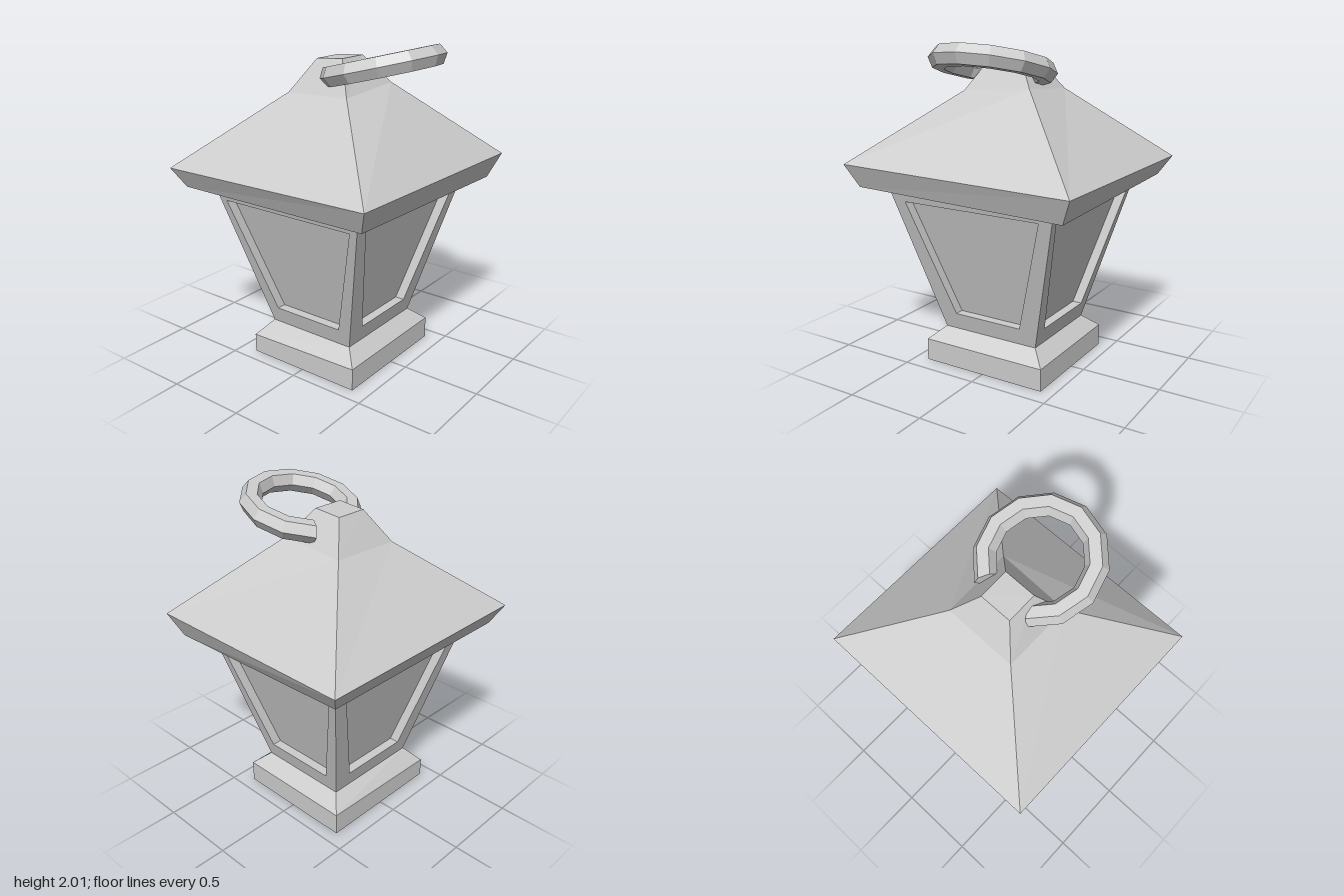
import * as THREE from 'three';

const material = new THREE.MeshStandardMaterial({ color: 0xcccccc, flatShading: true });

// Flat-shaded geometry from quads; each quad lists four corners counter-clockwise
function quadGeometry(quads) {
  const pos = [];
  for (const [a, b, c, d] of quads) pos.push(...a, ...b, ...c, ...a, ...c, ...d);
  const g = new THREE.BufferGeometry();
  g.setAttribute('position', new THREE.Float32BufferAttribute(pos, 3));
  g.computeVertexNormals();
  return g;
}

// Four corners of a rectangle: front right, front left, back left, back right (model's own);
// dy shifts single corners up or down for a hand-made look
function ring(y, x0, x1, zBack, zFront, dy = [0, 0, 0, 0]) {
  return [[x0, y + dy[0], zFront], [x1, y + dy[1], zFront], [x1, y + dy[2], zBack], [x0, y + dy[3], zBack]];
}

// Quads joining successive four-cornered loops
function bridge(loops) {
  const quads = [];
  for (let k = 0; k + 1 < loops.length; k++)
    for (let i = 0; i < 4; i++) {
      const j = (i + 1) % 4;
      quads.push([loops[k][i], loops[k][j], loops[k + 1][j], loops[k + 1][i]]);
    }
  return quads;
}

// Closed solid from stacked loops
function loft(loops) {
  return quadGeometry([[...loops[0]].reverse(), ...bridge(loops), loops[loops.length - 1]]);
}

function addMesh(parent, name, geometry) {
  const mesh = new THREE.Mesh(geometry, material);
  mesh.name = name;
  parent.add(mesh);
  return mesh;
}

// One leaning side of the lantern: frame, recess walls and pane
function sideGeometry(bottomHalf, topHalf, bottomDist, topDist, paneBottom, paneTop) {
  const [y0, y1, p0, p1, depth] = [0.22, 1.16, 0.33, 1.06, 0.06];
  const dist = (y) => bottomDist + (topDist - bottomDist) * (y - y0) / (y1 - y0);
  const trapezoid = (ya, yb, a, b, inset) => [
    [-a, ya, dist(ya) - inset], [a, ya, dist(ya) - inset],
    [b, yb, dist(yb) - inset], [-b, yb, dist(yb) - inset]];
  const outer = trapezoid(y0, y1, bottomHalf, topHalf, 0);
  const opening = trapezoid(p0, p1, paneBottom, paneTop, 0);
  const pane = trapezoid(p0, p1, paneBottom, paneTop, depth);
  return quadGeometry([...bridge([outer, opening, pane]), pane]);
}

export function createModel() {
  const lantern = new THREE.Group();
  lantern.name = 'lantern';

  // Plinth with a bevelled top and one chipped back corner
  const shoulder = ring(0.14, -0.415, 0.415, -0.39, 0.39, [0, 0, 0, -0.02]);
  addMesh(lantern, 'base', loft([
    ring(0, -0.415, 0.415, -0.39, 0.39),
    shoulder,
    ring(0.22, -0.325, 0.325, -0.3, 0.3),
  ]));

  // Lantern body: four framed panes
  const body = new THREE.Group();
  body.name = 'body';
  lantern.add(body);
  ['front', 'left', 'back', 'right'].forEach((side, i) => {
    const geometry = i % 2 === 0
      ? sideGeometry(0.325, 0.57, 0.3, 0.535, 0.23, 0.46)
      : sideGeometry(0.3, 0.535, 0.325, 0.57, 0.24, 0.46);
    addMesh(body, side + 'Pane', geometry).rotation.y = i * Math.PI / 2;
  });

  // Slightly crooked roof: sloping eaves, pyramid and steeper cap
  addMesh(lantern, 'roof', loft([
    ring(1.15, -0.69, 0.68, -0.64, 0.645, [0, -0.035, 0, 0]),
    ring(1.265, -0.755, 0.75, -0.705, 0.705, [0.025, 0, 0, 0.005]),
    ring(1.71, -0.23, 0.22, -0.22, 0.205, [0, 0.03, 0, -0.01]),
    ring(1.9, -0.11, 0.09, -0.1, 0.085, [0.008, 0.008, -0.005, -0.005]),
  ]));

  // Tilted open carrying ring with hexagonal section, ends meeting the cap
  const handle = new THREE.Group();
  handle.name = 'carryingRing';
  handle.position.set(0.02, 1.87, 0.275);
  handle.rotation.x = -Math.PI / 2 - 0.25;
  lantern.add(handle);
  const [radius, tube] = [0.306, 0.066];
  const start = Math.PI * 2 / 3, arc = Math.PI * 5 / 3;
  addMesh(handle, 'ring', new THREE.TorusGeometry(radius, tube, 6, 10, arc).rotateZ(start));
  for (const [angle, turn] of [[start, Math.PI / 2], [start + arc, -Math.PI / 2]]) {
    const cap = new THREE.CircleGeometry(tube, 6).rotateX(turn).translate(radius, 0, 0).rotateZ(angle);
    addMesh(handle, 'ringEnd', cap);
  }

  return lantern;
}
